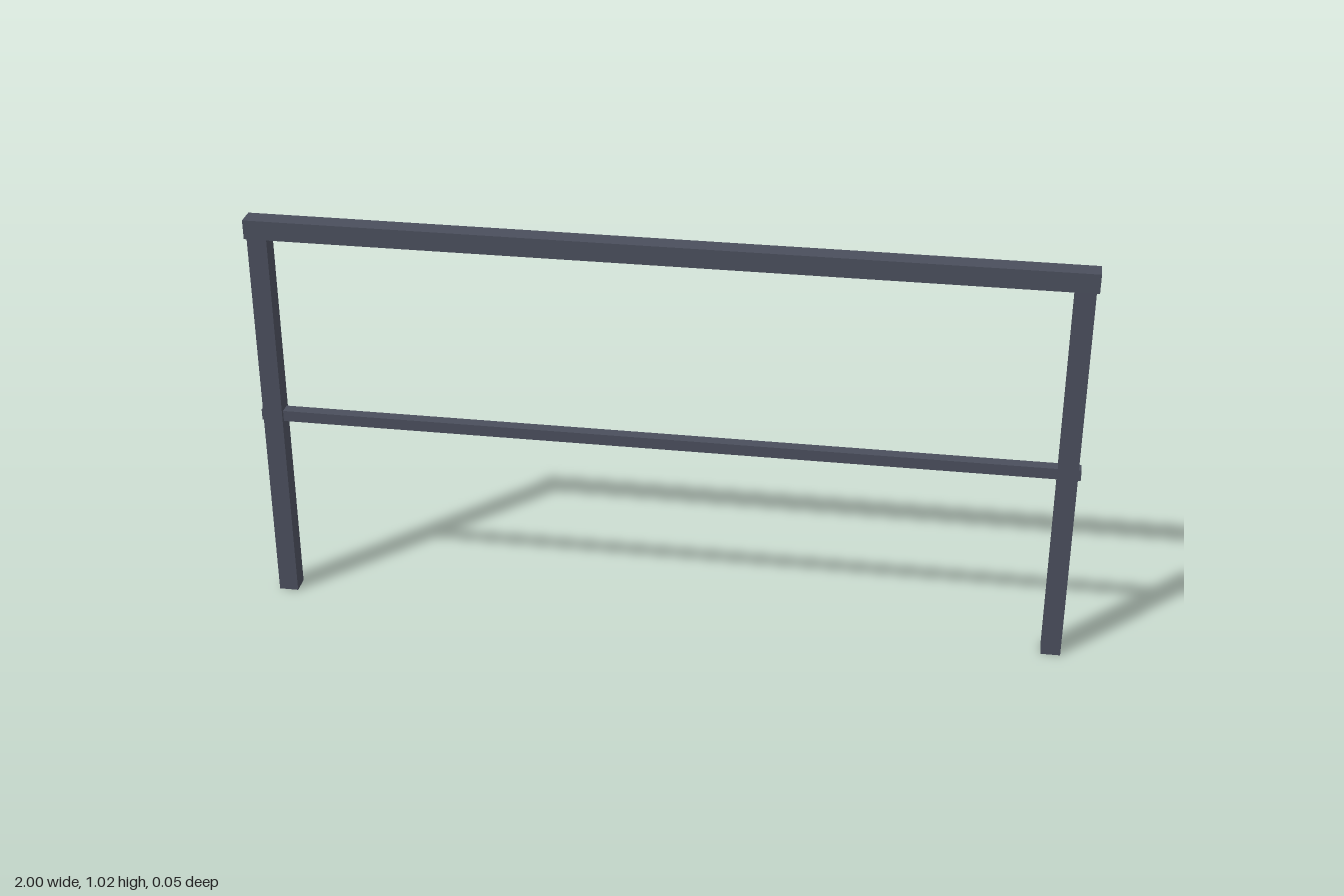
import * as THREE from 'three';

export function createModel() {
  const model = new THREE.Group();
  model.name = 'railing';
  const paintedSteel = new THREE.MeshStandardMaterial({ color: 0x4a4e5c });
  paintedSteel.name = 'paintedSteel';

  function bar(name, width, height, depth, x, y) {
    const mesh = new THREE.Mesh(new THREE.BoxGeometry(width, height, depth), paintedSteel);
    mesh.name = name;
    mesh.position.set(x, y, 0);
    model.add(mesh);
  }

  // Square posts, ending just under the handrail
  const postHeight = 0.977;
  bar('leftPost', 0.048, postHeight, 0.048, 0.969, postHeight / 2);
  bar('rightPost', 0.048, postHeight, 0.048, -0.969, postHeight / 2);

  // Handrail across the top, slightly overhanging the posts
  bar('handrail', 2, 0.048, 0.048, 0, 1.001);

  // Thin middle rail, running through both posts
  bar('middleRail', 2, 0.028, 0.029, 0, 0.502);

  return model;
}
